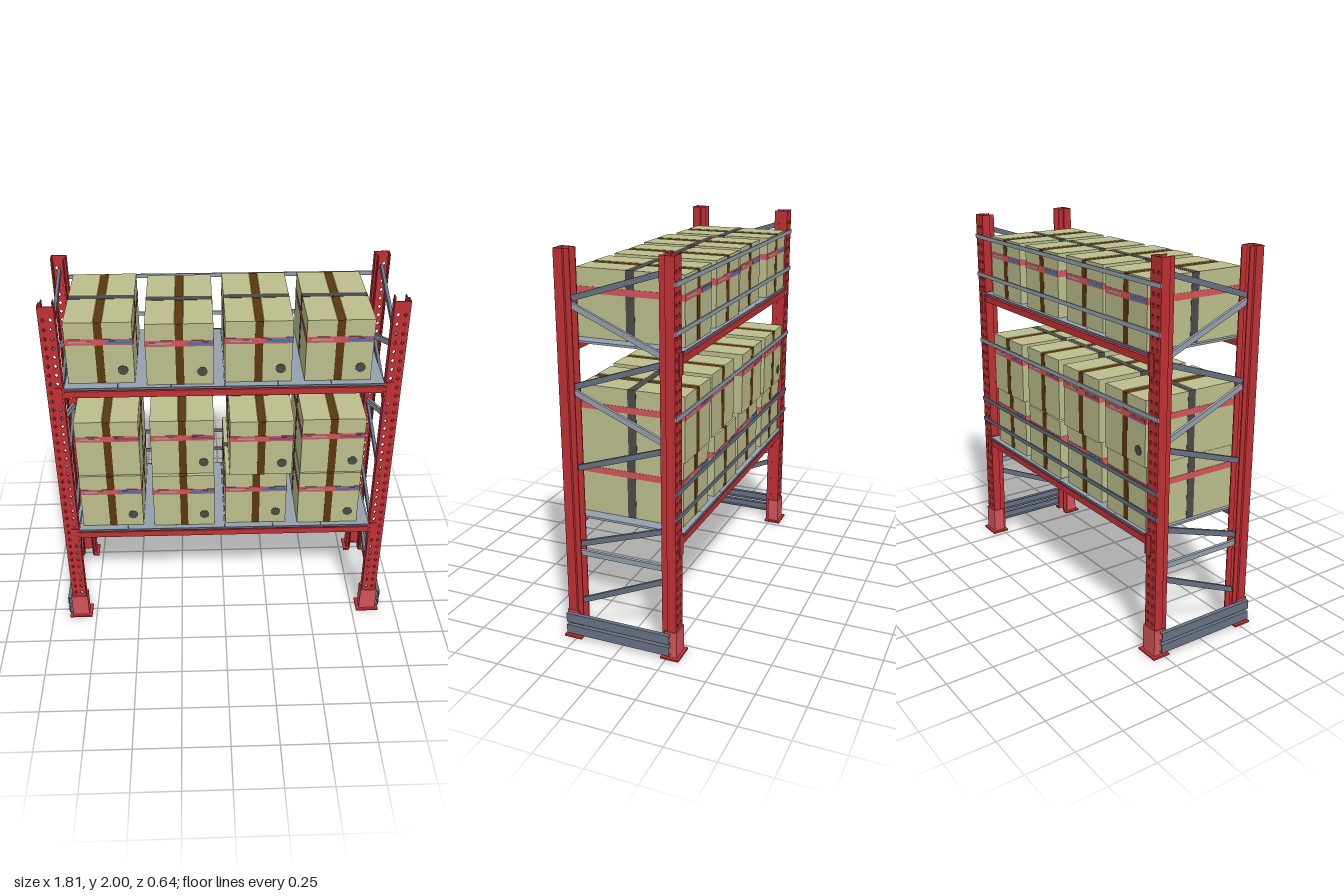
import * as THREE from 'three';

const mat = (name, color) => Object.assign(new THREE.MeshStandardMaterial({ color }), { name });

export function createModel() {
  const red = mat('rack red', 0xc03034), lightRed = mat('light red', 0xd6545a);
  const steel = mat('light steel', 0x94a1ae), darkSteel = mat('dark steel', 0x687284);
  const card = mat('cardboard', 0xbcbe8c), tape = mat('brown tape', 0x5c380e);
  const strap = mat('dark strap', 0x4c4a46), blue = mat('label blue', 0x2a80bc);
  const purple = mat('label purple', 0x8c4a74);
  const root = new THREE.Group();
  root.name = 'palletRack';

  const group = (name, parent = root) => {
    const g = new THREE.Group();
    g.name = name;
    parent.add(g);
    return g;
  };
  const add = (parent, name, geo, m, x = 0, y = 0, z = 0) => {
    const mesh = new THREE.Mesh(geo, m);
    mesh.name = name;
    mesh.position.set(x, y, z);
    parent.add(mesh);
    return mesh;
  };
  // box given by its lower and upper corners
  const block = (parent, name, m, [x0, y0, z0], [x1, y1, z1]) =>
    add(parent, name, new THREE.BoxGeometry(x1 - x0, y1 - y0, z1 - z0), m,
      (x0 + x1) / 2, (y0 + y1) / 2, (z0 + z1) / 2);
  const shape = (pts) => new THREE.Shape(pts.map(([x, y]) => new THREE.Vector2(x, y)));
  const extrude = (s, depth) => new THREE.ExtrudeGeometry(s, { depth, bevelEnabled: false });
  // plan outline in (x, z) extruded upwards
  const upright = (pts, h) =>
    extrude(shape(pts.map(([x, z]) => [x, -z])), h).rotateX(-Math.PI / 2);

  // Perforated front of a post
  const web = shape([[-0.04, 0.01], [0.04, 0.01], [0.04, 2], [-0.04, 2]]);
  for (let y = 0.18; y < 1.98; y += 0.05) {
    for (const x of [-0.018, 0.018]) {
      const hole = new THREE.Path();
      hole.absellipse(x, y, 0.0095, 0.012, 0, Math.PI * 2, true);
      web.holes.push(new THREE.Path(hole.getPoints(2)));
    }
  }
  const webGeo = new THREE.ExtrudeGeometry(web, { depth: 0.006, bevelEnabled: false });
  // Stepped side flange, foot sleeve and base plate, all in plan with the front at z = 0
  const flange = (s) => upright([[0.04, -0.006], [0.04, -0.047], [0.031, -0.05], [0.031, -0.078],
    [0.025, -0.078], [0.025, -0.045], [0.034, -0.042], [0.034, -0.006]].map(([x, z]) => [x * s, z]), 1.99);
  const uPlan = (w, front, back, innerW, innerFront) => [[-w, front], [w, front], [w, back],
    [innerW, back], [innerW, innerFront], [-innerW, innerFront], [-innerW, back], [-w, back]];
  const flanges = [flange(1), flange(-1)];
  const sleeveGeo = upright(uPlan(0.047, 0.005, -0.06, 0.041, -0.001), 0.14);
  const baseGeo = upright(uPlan(0.064, 0.02, -0.078, 0.03, -0.008), 0.01);

  for (const sx of [1, -1]) {
    for (const sz of [1, -1]) {
      const post = group(`${sz > 0 ? 'front' : 'back'}${sx > 0 ? 'Left' : 'Right'}Post`);
      post.position.set(sx * 0.84, 0, sz * 0.298);
      if (sz < 0) post.rotation.y = Math.PI;
      add(post, 'perforatedFace', webGeo, red, 0, 0, -0.006);
      flanges.forEach((g) => add(post, 'flange', g, red, 0, 0.01, 0));
      add(post, 'footSleeve', sleeveGeo, lightRed, 0, 0.01, 0);
      add(post, 'basePlate', baseGeo, red);
    }
  }

  // Frame braces: heights at front and back, and colour
  const braces = [[0.2, 0.4, darkSteel], [0.47, 0.47, steel], [0.52, 0.67, darkSteel],
    [0.93, 1.08, darkSteel], [1.31, 1.12, steel], [1.345, 1.5, darkSteel],
    [1.73, 1.535, steel], [1.77, 1.915, darkSteel]];
  // Floor guard rail: open channel
  const channel = shape([[0.022, -0.024], [0.022, 0.024], [0, 0.024], [0, 0.02],
    [0.018, 0.02], [0.018, -0.02], [0, -0.02], [0, -0.024]]);
  for (const sx of [1, -1]) {
    const frame = group(sx > 0 ? 'leftFrame' : 'rightFrame');
    for (const [yf, yb, m] of braces) {
      const dz = 0.45, dy = yb - yf;
      const b = add(frame, 'brace', new THREE.BoxGeometry(0.016, 0.028, Math.hypot(dz, dy) * 1.18), m,
        sx * 0.84, (yf + yb) / 2, 0);
      b.rotation.x = Math.atan2(dy, dz);
    }
    for (const y of [0.05, 0.114]) {
      const g = add(frame, 'floorGuard', extrude(channel, 0.57), darkSteel, sx * 0.885, y, sx > 0 ? -0.27 : 0.3);
      if (sx < 0) g.rotation.y = Math.PI;
    }
  }

  // Shelf levels: beams, end brackets and deck panels
  for (const y of [0.64, 1.545]) {
    const level = group('shelfLevel');
    for (const s of [1, -1]) {
      const beam = group('beam', level);
      if (s < 0) beam.rotation.y = Math.PI;
      block(beam, 'beamBody', red, [-0.8, y - 0.045, 0.255], [0.8, y - 0.01, 0.301]);
      block(beam, 'beamStep', red, [-0.8, y - 0.01, 0.255], [0.8, y, 0.285]);
      block(beam, 'deckEdge', darkSteel, [-0.795, y, 0.3], [0.795, y + 0.012, 0.306]);
      for (const e of [1, -1]) {
        add(beam, 'bracketFace', new THREE.BoxGeometry(0.035, 0.11, 0.005), red, e * 0.822, y - 0.04, 0.3005);
        add(beam, 'bracketSide', new THREE.BoxGeometry(0.006, 0.11, 0.05), red, e * 0.797, y - 0.04, 0.278);
      }
    }
    for (let i = 0; i < 6; i++) {
      const x = -0.795 + i * 0.265;
      block(level, 'deckPanel', steel, [x + 0.001, y, -0.3], [x + 0.264, y + 0.011, 0.3]);
    }
  }

  // Back safety rails
  for (const [y, m] of [[0.755, darkSteel], [0.885, darkSteel], [1.255, steel], [1.655, steel], [1.875, steel]])
    block(root, 'backRail', m, [-0.88, y - 0.011, -0.305], [0.88, y + 0.011, -0.298]);

  // Carton: front outline with a shallow seam notch, tape, strap, band and labels
  const W = 0.33, H = 0.335, D = 0.55, w = W / 2, d = D / 2;
  const cartonGeo = extrude(shape([[-w, 0], [w, 0], [w, H], [0.022, H], [0.012, H - 0.008],
    [-0.012, H - 0.008], [-0.022, H], [-w, H]]), D).translate(0, 0, -d);
  const spotGeo = new THREE.CylinderGeometry(0.026, 0.026, 0.003, 12).rotateX(Math.PI / 2);
  const carton = (x, y, z, labelMat, turned) => {
    const c = group('carton');
    c.position.set(x, y, z);
    if (turned) c.rotation.y = Math.PI;
    add(c, 'cardboardBody', cartonGeo, card);
    block(c, 'topTape', tape, [-0.02, H - 0.007, -d], [0.02, H - 0.002, d]);
    block(c, 'topStrap', strap, [-w, H - 0.002, -0.02], [w, H + 0.001, 0.02]);
    for (const s of [1, -1]) {
      add(c, 'endTape', new THREE.BoxGeometry(0.04, H - 0.006, 0.002), tape, 0, H / 2 - 0.003, s * d);
      add(c, 'sideStrap', new THREE.BoxGeometry(0.002, H, 0.045), strap, s * w, H / 2, 0);
      add(c, 'endBand', new THREE.BoxGeometry(W, 0.032, 0.004), lightRed, 0, 0.23, s * d);
      add(c, 'sideBand', new THREE.BoxGeometry(0.004, 0.032, D), lightRed, s * w, 0.23, 0);
      add(c, 'paleLabel', new THREE.BoxGeometry(0.11, 0.009, 0.006), steel, s * -0.09, 0.23, s * d);
      add(c, 'colourLabel', new THREE.BoxGeometry(0.125, 0.016, 0.006), labelMat, s * 0.1, 0.23, s * d);
    }
    add(c, 'roundSpot', spotGeo, strap, 0.11, 0.072, d + 0.001);
  };
  // [base height, label, x centres, z centres]
  const rows = [
    [0.651, blue, [-0.61, -0.22, 0.17, 0.565], [-0.01, 0, -0.01, 0]],
    [0.987, purple, [-0.61, -0.22, 0.192, 0.568], [-0.02, -0.02, 0, -0.01]],
    [1.557, blue, [-0.61, -0.22, 0.167, 0.563], [-0.02, 0.005, -0.01, -0.01]],
  ];
  rows.forEach(([y, label, xs, zs], r) =>
    xs.forEach((x, i) => carton(x, y, zs[i], label, r === 1 && i === 0)));

  return root;
}
